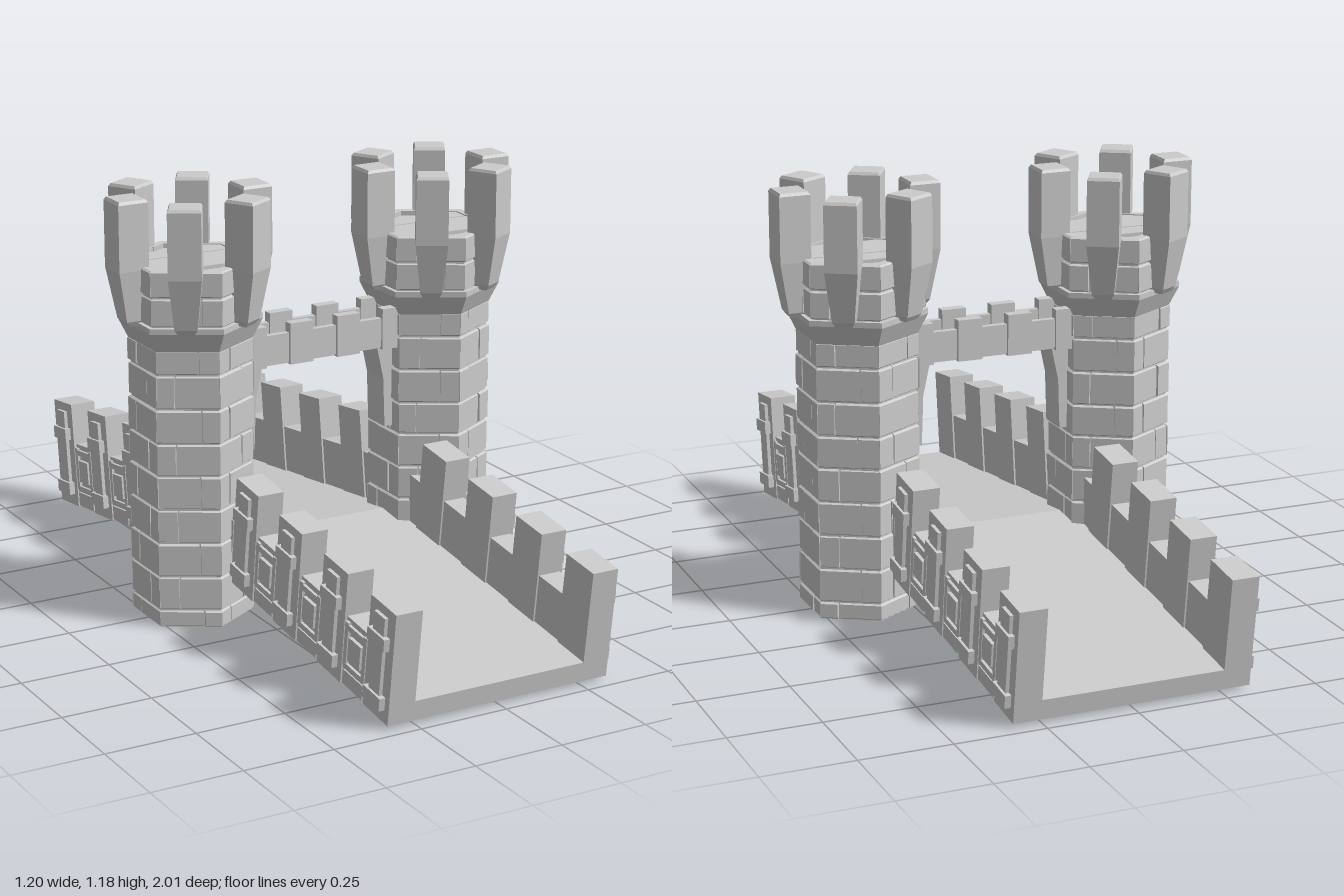
import * as THREE from 'three';
import { mergeGeometries } from 'three/addons/utils/BufferGeometryUtils.js';

const stone = new THREE.MeshStandardMaterial({ color: 0xcccccc, flatShading: true });

let seed = 7;
const rand = () => (seed = (seed * 16807) % 2147483647) / 2147483647;

// Closed solid through rings of points, each anticlockwise seen from the last ring
function loft(rings) {
  const pos = [];
  const tri = (...pts) => pts.forEach((p) => pos.push(...p));
  const n = rings[0].length, last = rings[rings.length - 1];
  for (let r = 0; r + 1 < rings.length; r++) {
    const a = rings[r], b = rings[r + 1];
    for (let i = 0; i < n; i++) {
      const j = (i + 1) % n;
      tri(a[i], a[j], b[j]);
      tri(a[i], b[j], b[i]);
    }
  }
  for (let i = 1; i + 1 < n; i++) {
    tri(rings[0][0], rings[0][i + 1], rings[0][i]);
    tri(last[0], last[i], last[i + 1]);
  }
  const g = new THREE.BufferGeometry();
  g.setAttribute('position', new THREE.Float32BufferAttribute(pos, 3));
  g.computeVertexNormals();
  return g;
}

// Box given by its limits
function block(x0, x1, y0, y1, z0, z1) {
  const g = new THREE.BoxGeometry(x1 - x0, y1 - y0, z1 - z0).toNonIndexed();
  g.deleteAttribute('uv');
  return g.translate((x0 + x1) / 2, (y0 + y1) / 2, (z0 + z1) / 2);
}

function add(parent, name, geos) {
  const mesh = new THREE.Mesh(Array.isArray(geos) ? mergeGeometries(geos) : geos, stone);
  mesh.name = name;
  parent.add(mesh);
  return mesh;
}

// Four corners at height y: distance r0..r1 along direction "angle", offsets s0..s1 across it
function quad(angle, y, r0, r1, s0, s1, s0Out = s0, s1Out = s1) {
  const c = Math.cos(angle), s = Math.sin(angle);
  return [[r0, s0], [r0, s1], [r1, s1Out], [r1, s0Out]].map(([r, t]) => [r * c - t * s, y, r * s + t * c]);
}

const T30 = Math.tan(Math.PI / 6), SIXTH = Math.PI / 3;
const hex = (y, apothem) => Array.from({ length: 6 }, (_, i) => {
  const a = -SIXTH * i + Math.PI / 2, r = apothem / Math.cos(Math.PI / 6);
  return [r * Math.cos(a), y, r * Math.sin(a)];
});

// One course of mitred bricks around the hexagon
function course(y0, y1, apothem, depth, shift) {
  const list = [], g = 0.025;
  for (let k = 0; k < 6; k++) {
    const cut = (shift + k) % 2 ? 0.3 + rand() * 0.15 : -0.3 - rand() * 0.15;
    for (const [t0, t1] of [[-1, cut - g], [cut + g, 1]]) {
      const out = apothem - rand() * 0.004, inn = apothem - depth;
      const ring = (y, r) => quad(k * SIXTH, y, inn, r, inn * T30 * t0, inn * T30 * t1, r * T30 * t0, r * T30 * t1);
      const e = 0.006;
      list.push(loft([ring(y0 + 0.002, out - e), ring(y0 + e, out), ring(y1 - e, out), ring(y1 - 0.002, out - e)]));
    }
  }
  return list;
}

function tower() {
  const g = new THREE.Group();
  add(g, 'towerCore', loft([hex(0, 0.139), hex(0.79, 0.139), hex(0.84, 0.156), hex(0.985, 0.156)]));
  // Shaft courses
  const rows = [0, 0.05, 0.145, 0.24, 0.335, 0.43, 0.52, 0.615, 0.71, 0.78];
  add(g, 'shaftBricks', rows.slice(1).flatMap((y, i) => course(rows[i], y, 0.147, 0.02, i)));
  // Flared collar and upper courses
  add(g, 'collar', loft([hex(0.775, 0.144), hex(0.83, 0.168), hex(0.845, 0.168)]));
  add(g, 'upperBricks', [...course(0.845, 0.925, 0.164, 0.03, 0), ...course(0.925, 1.0, 0.164, 0.03, 1)]);
  // Roof planks
  add(g, 'roofPlanks', [[-0.1, -0.033], [-0.027, 0.1]].map(([a, b]) => block(-0.14, 0.14, 0.98, 0.995, a, b)));
  // Tapered merlons, one on each face
  const merlons = [];
  for (let k = 0; k < 6; k++) {
    const sec = (y, r0, r1, w) => quad(k * SIXTH, y, r0, r1, -w, w);
    merlons.push(loft([
      sec(0.835, 0.15, 0.19, 0.022), sec(0.85, 0.145, 0.2, 0.03), sec(0.99, 0.14, 0.226, 0.044),
      sec(1.17, 0.14, 0.226, 0.044), sec(1.178, 0.145, 0.221, 0.04),
    ]));
  }
  add(g, 'towerMerlons', merlons);
  return g;
}

// One parapet on the +x side; z runs from 0 at the foot to -len at the crown
function parapet(len) {
  const g = new THREE.Group(), step = 0.238, w = 0.122;
  const merlons = [], panels = [], trims = [];
  for (let i = 0; i < 4; i++) {
    const a = -i * step, b = a - w, c = a - step;
    merlons.push(block(0.252, 0.328, 0, 0.31, b, a));
    // Pilaster with cross bands on the outer face
    trims.push(block(0.32, 0.338, 0.03, 0.285, b + 0.035, a - 0.035));
    for (const y of [0.035, 0.2]) trims.push(block(0.32, 0.345, y, y + 0.035, b + 0.02, a - 0.02));
    // Lower wall between merlons with a framed square
    panels.push(block(0.257, 0.32, 0, 0.19, c, b));
    panels.push(block(0.315, 0.328, 0.005, 0.045, c + 0.008, b - 0.008));
    const m = (b + c) / 2;
    for (const s of [-1, 1]) {
      trims.push(block(0.315, 0.328, 0.055, 0.18, m + s * 0.046 - 0.008, m + s * 0.046 + 0.008));
      trims.push(block(0.315, 0.328, 0.112 + s * 0.055 - 0.008, 0.112 + s * 0.055 + 0.008, m - 0.05, m + 0.05));
    }
    trims.push(block(0.315, 0.33, 0.08, 0.145, m - 0.03, m + 0.03));
  }
  panels.push(block(0.257, 0.32, 0, 0.19, -len, -4 * step));
  add(g, 'parapetMerlons', merlons);
  add(g, 'parapetWall', panels);
  add(g, 'parapetTrim', trims);
  return g;
}

// Sloping half of the bridge, from its foot at +z up to the middle
function ramp() {
  const half = new THREE.Group(), g = new THREE.Group(), slope = 0.125, len = 0.973;
  add(g, 'deck', block(-0.322, 0.322, 0, 0.055, -len - 0.007, 0));
  for (const side of [1, -1]) {
    const p = parapet(len);
    p.name = side > 0 ? 'leftParapet' : 'rightParapet';
    p.scale.x = side;
    g.add(p);
  }
  g.position.set(0, 0.01, 0.965);
  g.rotation.x = slope;
  half.add(g);
  return half;
}

// High walkway between the towers
function walkway() {
  const g = new THREE.Group(), walls = [], caps = [];
  add(g, 'walkwayFloor', block(-0.235, 0.235, 0.68, 0.705, -0.06, 0.06));
  for (const s of [-1, 1]) {
    const zs = s > 0 ? [0.048, 0.066] : [-0.066, -0.048];
    for (let i = 0; i < 3; i++) {
      const x = (i - 1) * 0.146;
      walls.push(block(x - 0.037, x + 0.037, 0.685, 0.766, ...zs));
    }
    for (const x of [-0.215, -0.073, 0.073, 0.215])
      caps.push(block(x - 0.035, x + 0.035, 0.678, 0.793, s > 0 ? 0.044 : -0.073, s > 0 ? 0.073 : -0.044));
  }
  add(g, 'walkwayWalls', walls);
  add(g, 'walkwayMerlons', caps);
  // Corbels against the towers
  const shape = new THREE.Shape([[0.25, 0.445], [0.25, 0.685], [0.178, 0.685], [0.2, 0.585], [0.205, 0.445]]
    .map(([x, y]) => new THREE.Vector2(x, y)));
  const geo = new THREE.ExtrudeGeometry(shape, { depth: 0.09, bevelEnabled: false }).translate(0, 0, -0.045);
  for (const s of [1, -1]) add(g, s > 0 ? 'leftCorbel' : 'rightCorbel', geo).scale.x = s;
  return g;
}

export function createModel() {
  const model = new THREE.Group();
  model.name = 'fortifiedBridge';
  for (const s of [1, -1]) {
    const t = tower();
    t.name = s > 0 ? 'leftTower' : 'rightTower';
    t.position.x = s * 0.373;
    const r = ramp();
    r.name = s > 0 ? 'frontRamp' : 'backRamp';
    r.rotation.y = s > 0 ? 0 : Math.PI;
    model.add(t, r);
  }
  const w = walkway();
  w.name = 'walkway';
  model.add(w);
  return model;
}
